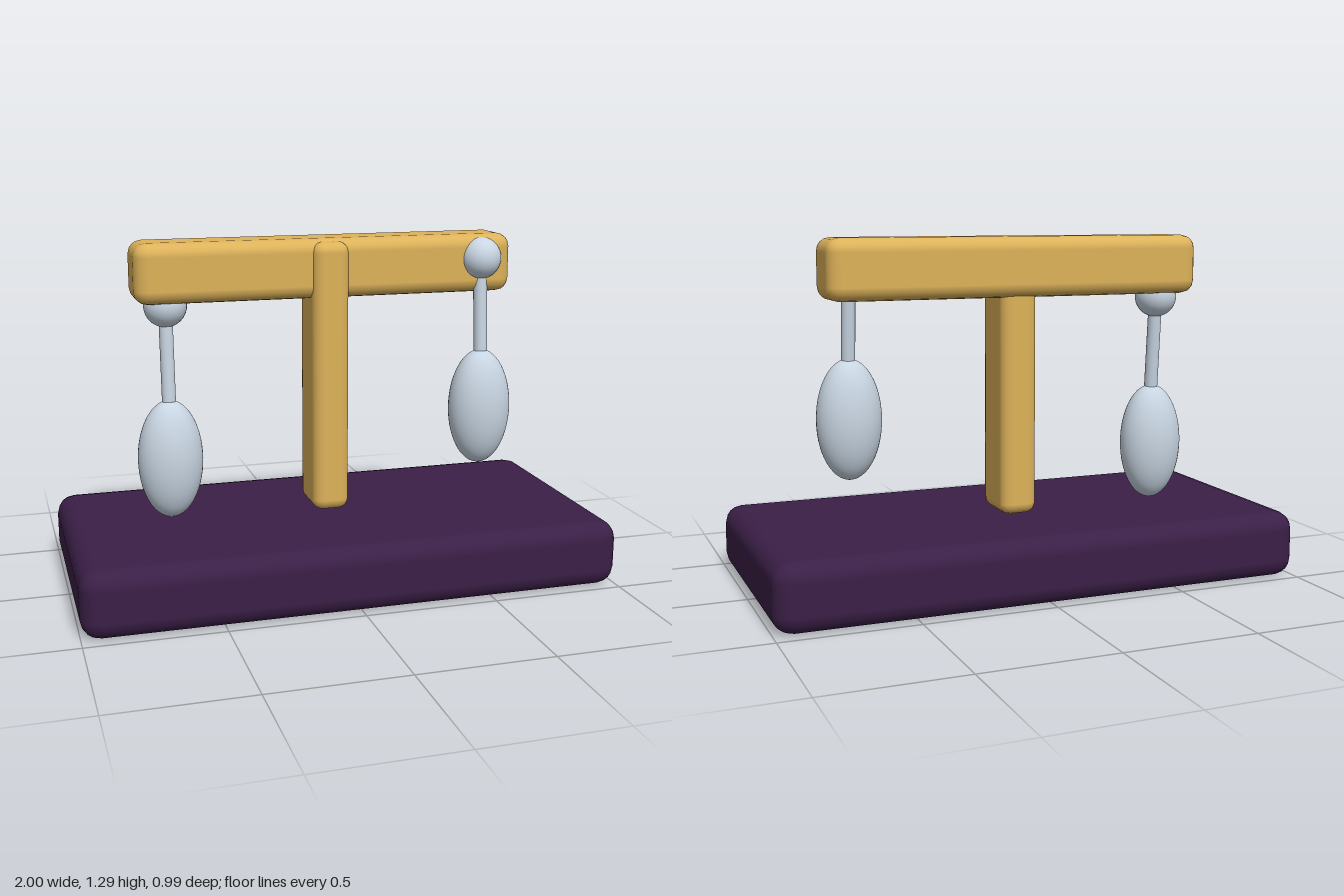
import * as THREE from 'three';
import { RoundedBoxGeometry } from 'three/addons/geometries/RoundedBoxGeometry.js';

const gold = new THREE.MeshStandardMaterial({ color: 0xddb25a });
const purple = new THREE.MeshStandardMaterial({ color: 0x3b1f47 });
const silver = new THREE.MeshStandardMaterial({ color: 0xc8d5e2 });

function part(name, geometry, material, x, y, z) {
  const mesh = new THREE.Mesh(geometry, material);
  mesh.name = name;
  mesh.position.set(x, y, z);
  return mesh;
}

// Ball pivot, slightly tilted rod and egg-shaped weight; origin at the ball
function createPendulum(name, x, y, z) {
  const group = new THREE.Group();
  group.name = name;
  group.position.set(x, y, z);

  const ball = part('ball', new THREE.SphereGeometry(0.08, 32, 20), silver, 0, 0, 0);

  const top = new THREE.Vector3(0, -0.06, 0.003);
  const bottom = new THREE.Vector3(0, -0.355, 0.026);
  const length = top.distanceTo(bottom);
  const rod = part('rod', new THREE.CylinderGeometry(0.026, 0.026, length, 20), silver, 0, 0, 0);
  rod.position.copy(top).lerp(bottom, 0.5);
  rod.quaternion.setFromUnitVectors(
    new THREE.Vector3(0, 1, 0), top.clone().sub(bottom).normalize());

  const weight = part('weight', new THREE.SphereGeometry(1, 40, 28), silver, 0, -0.575, 0.026);
  weight.scale.set(0.122, 0.225, 0.099);

  group.add(ball, rod, weight);
  return group;
}

export function createModel() {
  const model = new THREE.Group();
  model.name = 'balance';

  // Chunky bevelled base
  model.add(part('base', new RoundedBoxGeometry(2, 0.25, 0.985, 2, 0.07), purple, 0, 0.125, 0));

  // Upright and crossbeam
  model.add(part('post', new RoundedBoxGeometry(0.14, 1.025, 0.22, 2, 0.04), gold, 0, 0.768, -0.043));
  model.add(part('beam', new RoundedBoxGeometry(1.445, 0.222, 0.222, 2, 0.05), gold, 0, 1.18, -0.069));

  // Hanging weights: the left one sits higher and further forward
  model.add(createPendulum('leftPendulum', 0.6, 1.2, 0.019));
  model.add(createPendulum('rightPendulum', -0.6, 1.055, -0.07));

  return model;
}
